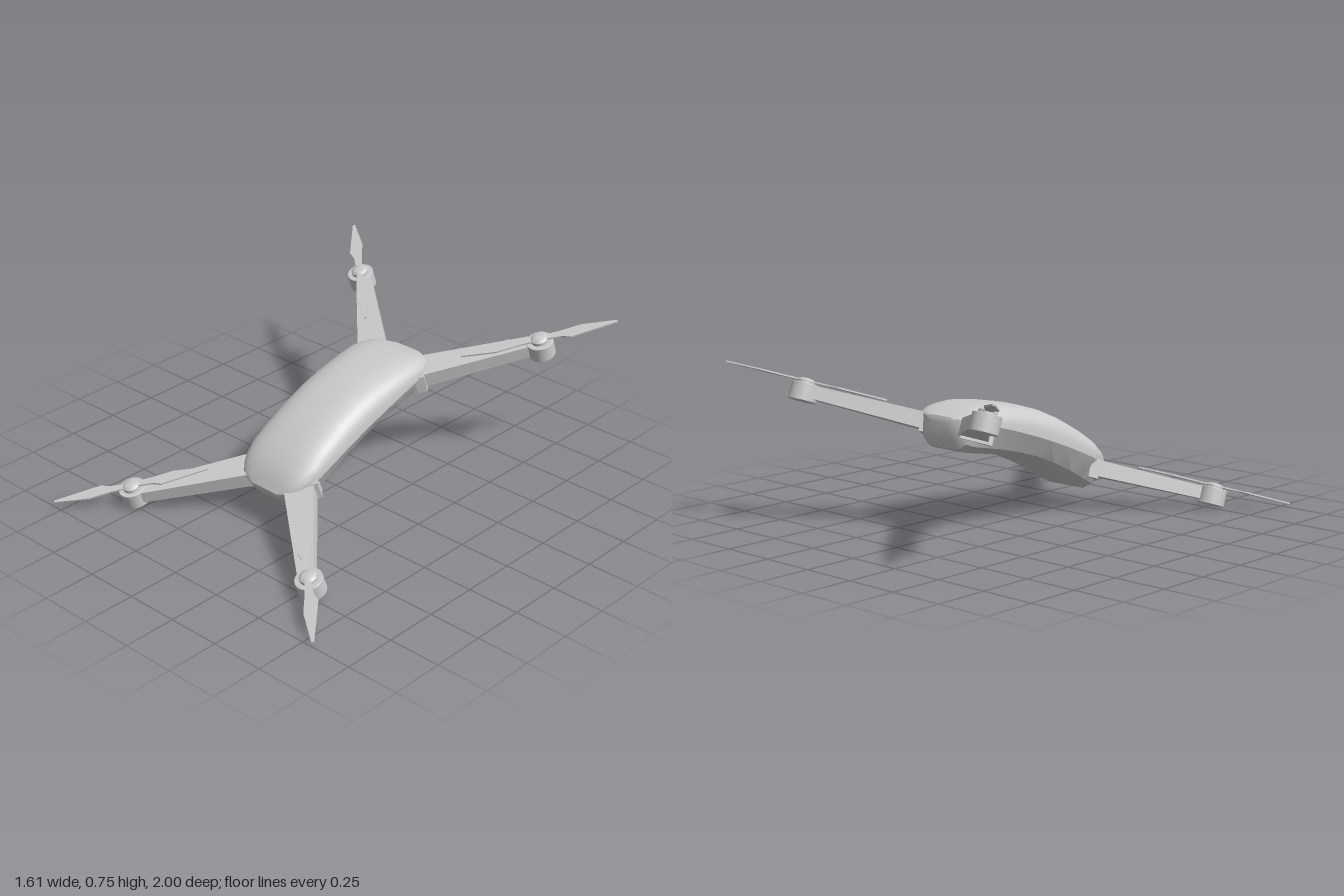
import * as THREE from 'three';
import { toCreasedNormals } from 'three/addons/utils/BufferGeometryUtils.js';

const grey = new THREE.MeshStandardMaterial({ color: 0xcccccc });
grey.name = 'grey';

// Hull sections: [distance from middle, half width, top, bottom]
const SECTIONS = [
  [0, 0.205, 0.13, -0.104], [0.12, 0.205, 0.123, -0.111], [0.25, 0.205, 0.102, -0.126],
  [0.34, 0.203, 0.08, -0.142], [0.4, 0.19, 0.055, -0.152], [0.44, 0.172, 0.034, -0.15],
  [0.478, 0.143, 0.002, -0.112], [0.505, 0.08, -0.022, -0.05],
];

// Rounded shell above a chine line, bevelled belly below it
function bodyGeometry() {
  const stations = [
    ...SECTIONS.slice(1).reverse().map(([z, ...r]) => [-z, ...r]),
    ...SECTIONS,
  ];
  const pos = [], idx = [], arc = 24;
  let n = 0;
  for (const [z, w, top, bottom] of stations) {
    const chine = -0.03 * (z / 0.505) ** 2;
    const ring = [];
    for (let i = 0; i <= arc; i++) {
      const a = (Math.PI * i) / arc, c = Math.cos(a), s = Math.max(0, Math.sin(a));
      ring.push([w * Math.sign(c) * Math.abs(c) ** 0.68, chine + (top - chine) * s ** 0.68]);
    }
    const low = chine + (bottom - chine) * 0.76;
    ring.push([-w * 0.75, low], [-w * 0.5, bottom], [w * 0.5, bottom], [w * 0.75, low]);
    n = ring.length;
    ring.forEach(([x, y]) => pos.push(x, y, z));
  }
  const last = stations.length - 1;
  for (let k = 0; k < last; k++) {
    for (let i = 0; i < n; i++) {
      const a = k * n + i, b = k * n + ((i + 1) % n);
      idx.push(a, b, b + n, a, b + n, a + n);
    }
  }
  // end caps
  for (let i = 1; i < n - 1; i++) {
    idx.push(0, i + 1, i, last * n, last * n + i, last * n + i + 1);
  }
  const g = new THREE.BufferGeometry();
  g.setAttribute('position', new THREE.Float32BufferAttribute(pos, 3));
  g.setIndex(idx);
  return toCreasedNormals(g, 0.5);
}

// Tapered beam; each end = [rear x, rear z, front x, front z, bottom y, top y]
function beam(root, tip) {
  const g = new THREE.BoxGeometry(1, 1, 1), p = g.attributes.position;
  for (let i = 0; i < p.count; i++) {
    const e = p.getX(i) > 0 ? tip : root, o = p.getZ(i) > 0 ? 2 : 0;
    p.setXYZ(i, e[o], e[p.getY(i) > 0 ? 5 : 4], e[o + 1]);
  }
  g.computeVertexNormals();
  return g;
}

const MOTOR_X = 0.546, MOTOR_Z = 0.805;

function bladeGeometry() {
  const half = [[0.04, -0.016], [0.1, -0.018], [0.2, -0.029], [0.36, -0.005],
    [0.36, 0.006], [0.14, 0.037], [0.1, 0.02], [0.04, 0.016]];
  const outline = [...half, ...half.map(([u, v]) => [-u, -v])];
  const shape = new THREE.Shape(outline.map(([u, v]) => new THREE.Vector2(u, v)));
  const g = new THREE.ExtrudeGeometry(shape, { depth: 0.007, bevelEnabled: false });
  const d = Math.SQRT1_2;
  const m = new THREE.Matrix4().makeBasis(
    new THREE.Vector3(d, 0, d), new THREE.Vector3(d, 0, -d), new THREE.Vector3(0, 1, 0));
  return g.applyMatrix4(m.setPosition(MOTOR_X, -0.003, MOTOR_Z));
}

function turned(points) {
  const g = new THREE.LatheGeometry(points.map(([r, y]) => new THREE.Vector2(r, y)), 32);
  return toCreasedNormals(g, 0.6).translate(MOTOR_X, 0, MOTOR_Z);
}

// Mirrored copy with corner order kept outward
function mirrored(source, sx, sz) {
  const g = source.index ? source.toNonIndexed() : source.clone();
  g.scale(sx, 1, sz);
  if (sx * sz < 0) {
    for (const name of ['position', 'normal']) {
      const a = g.attributes[name];
      for (let i = 0; i < a.count; i += 3) {
        const b = [a.getX(i + 1), a.getY(i + 1), a.getZ(i + 1)];
        a.setXYZ(i + 1, a.getX(i + 2), a.getY(i + 2), a.getZ(i + 2));
        a.setXYZ(i + 2, ...b);
      }
    }
  }
  return g;
}

export function createModel() {
  const model = new THREE.Group();
  model.name = 'quadcopter';

  // whole aircraft pitched nose down
  const craft = new THREE.Group();
  craft.name = 'pitchedAircraft';
  craft.rotation.x = THREE.MathUtils.degToRad(20);
  craft.position.y = 0.38;
  model.add(craft);

  const add = (parent, name, geometry) => {
    const mesh = new THREE.Mesh(geometry, grey);
    mesh.name = name;
    parent.add(mesh);
  };

  add(craft, 'body', bodyGeometry());

  // one front left rotor arm, mirrored to all corners
  const parts = {
    Arm: beam([0.19, 0.372, 0.106, 0.48, -0.088, -0.014], [0.556, 0.785, 0.511, 0.836, -0.073, -0.016]),
    Hinge: beam([0.185, 0.338, 0.095, 0.45, -0.1, -0.01], [0.214, 0.372, 0.126, 0.484, -0.1, -0.01]),
    Motor: turned([[0, -0.091], [0.059, -0.091], [0.062, -0.088], [0.062, -0.014], [0.06, -0.012], [0, -0.012]]),
    Hub: turned([[0, -0.013], [0.039, -0.013], [0.039, 0.002], [0.034, 0.007], [0.022, 0.011], [0, 0.013]]),
    Propeller: bladeGeometry(),
  };
  for (const sz of [1, -1]) {
    for (const sx of [1, -1]) {
      const corner = (sz > 0 ? 'front' : 'rear') + (sx > 0 ? 'Left' : 'Right');
      const rotor = new THREE.Group();
      rotor.name = corner + 'Rotor';
      for (const [name, g] of Object.entries(parts)) add(rotor, corner + name, mirrored(g, sx, sz));
      craft.add(rotor);
    }
  }
  return model;
}
